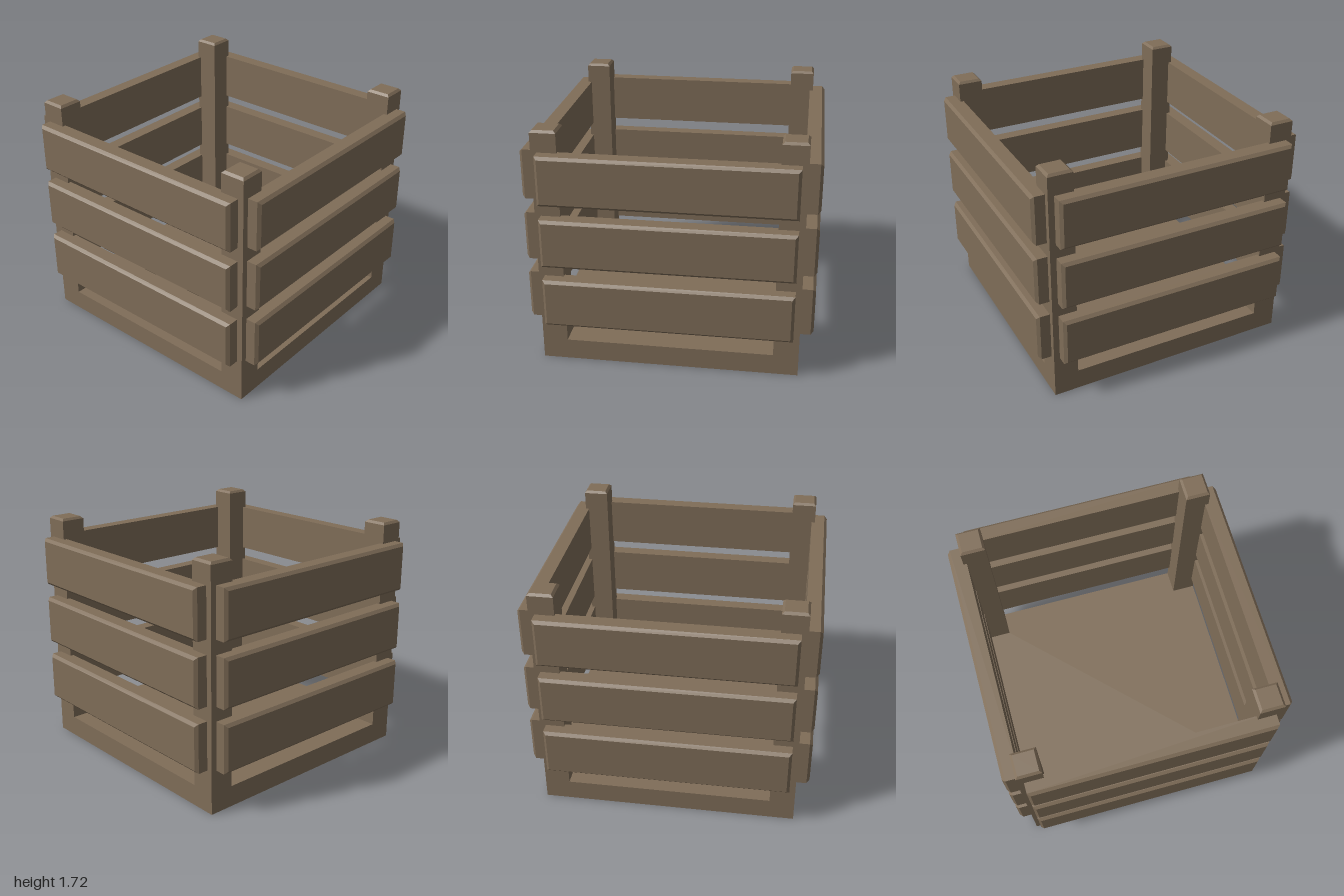
import * as THREE from 'three';

const wood = new THREE.MeshStandardMaterial({ color: 0x7f6d58, flatShading: true });

// Box from z = 0 to z = d whose +z face is chamfered on all four edges
function chamferedBox(w, h, d, c) {
  const geo = new THREE.BoxGeometry(w, h, d, 1, 1, 2);
  const p = geo.attributes.position;
  for (let i = 0; i < p.count; i++) {
    const z = p.getZ(i);
    if (z > 0.001) {
      p.setXYZ(i, p.getX(i) * (1 - 2 * c / w), p.getY(i) * (1 - 2 * c / h), d);
    } else {
      p.setZ(i, z < -0.001 ? 0 : d - c);
    }
  }
  const flat = geo.toNonIndexed();
  flat.computeVertexNormals();
  return flat;
}

function addMesh(parent, name, geo) {
  const mesh = new THREE.Mesh(geo, wood);
  mesh.name = name;
  parent.add(mesh);
  return mesh;
}

export function createModel() {
  const crate = new THREE.Group();
  crate.name = 'slattedCrate';

  // Solid floor
  addMesh(crate, 'floor', new THREE.BoxGeometry(1.81, 0.15, 1.81)).position.y = 0.075;

  // Corner posts with chamfered tops
  const postGeo = chamferedBox(0.176, 0.176, 1.715, 0.016).rotateX(-Math.PI / 2);
  for (const x of [-1, 1]) {
    for (const z of [-1, 1]) {
      addMesh(crate, 'cornerPost', postGeo).position.set(x * 0.817, 0, z * 0.817);
    }
  }

  // Three slats per side, chamfered on the outer face
  const slatGeo = chamferedBox(1.725, 0.35, 0.117, 0.02);
  ['front', 'left', 'back', 'right'].forEach((side, i) => {
    const wall = new THREE.Group();
    wall.name = side + 'Slats';
    wall.rotation.y = i * Math.PI / 2;
    for (let row = 0; row < 3; row++) {
      addMesh(wall, side + 'Slat', slatGeo).position.set(0, 0.485 + row * 0.4525, 0.88);
    }
    crate.add(wall);
  });

  return crate;
}
